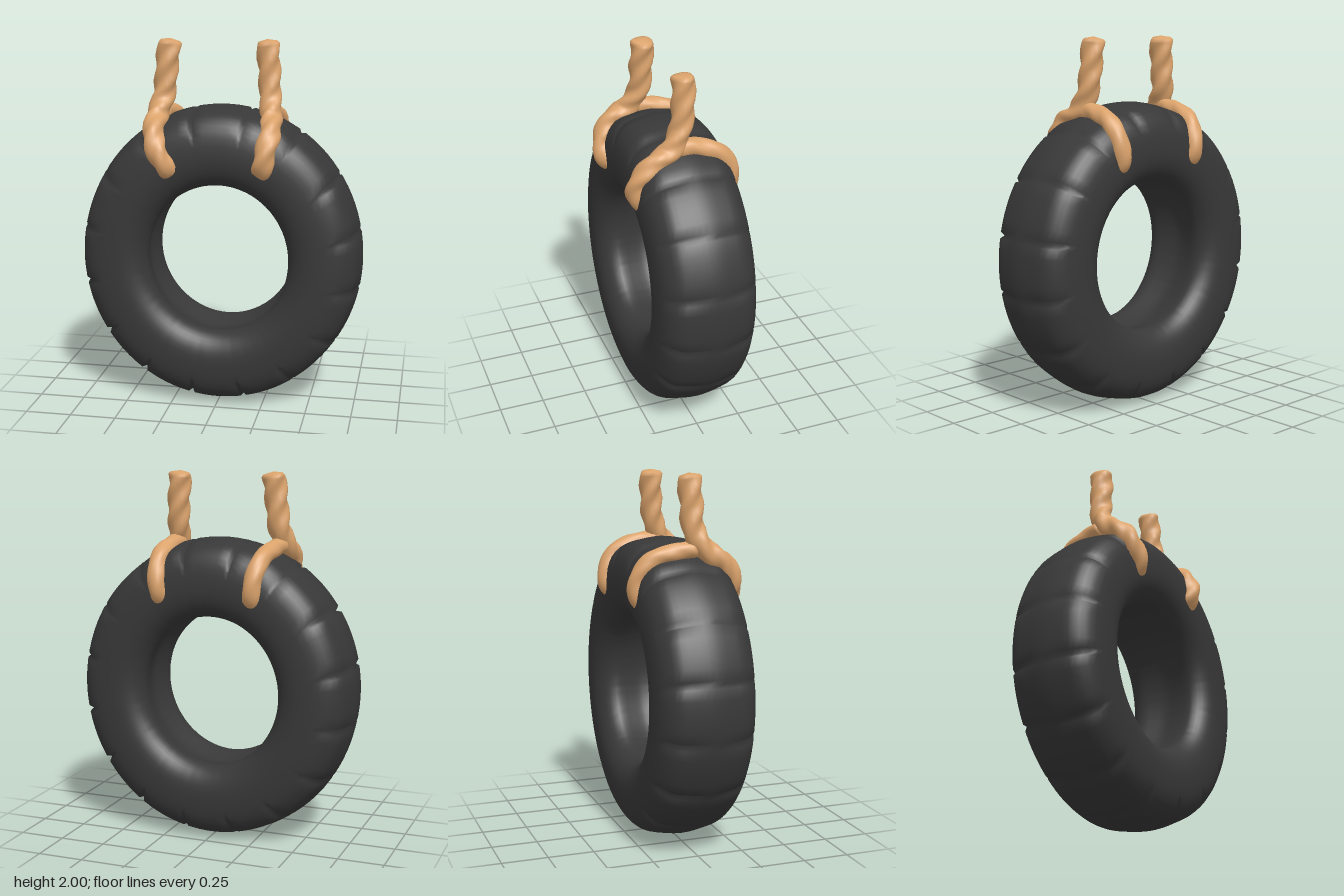
import * as THREE from 'three';
import { mergeVertices } from 'three/addons/utils/BufferGeometryUtils.js';

const rubber = new THREE.MeshStandardMaterial({ color: 0x383838 });
rubber.name = 'rubber';
const hemp = new THREE.MeshStandardMaterial({ color: 0xdba36c });
hemp.name = 'hemp rope';

// Weld seams and give smooth normals
function smooth(geometry) {
  geometry.deleteAttribute('uv');
  geometry.deleteAttribute('normal');
  const welded = mergeVertices(geometry, 1e-4);
  welded.computeVertexNormals();
  return welded;
}

// Tyre: closed profile turned round its axle, with notches cut across the tread
function makeTire() {
  const half = [[0.81, 0.1], [0.785, 0.185], [0.715, 0.245], [0.6, 0.267],
    [0.51, 0.26], [0.445, 0.225], [0.41, 0.165], [0.425, 0.08]];
  const loop = [[0.823, 0], ...half, [0.44, 0], ...half.map(([r, z]) => [r, -z]).reverse()];
  const curve = new THREE.CatmullRomCurve3(loop.map(([r, z]) => new THREE.Vector3(r, z, 0)), true);
  const profile = curve.getPoints(54).map(p => new THREE.Vector2(p.x, p.y));
  const blocks = 16, cols = 8, n = profile.length;
  const geometry = new THREE.LatheGeometry(profile, blocks * cols);
  const pos = geometry.attributes.position;
  for (let i = 0; i <= blocks * cols; i++) {
    const c = i % cols;
    // columns beside a notch are pulled in to make it narrow
    const shift = c === 3 ? 0.5 : c === 5 ? -0.5 : 0;
    const phi = (i + shift) / (blocks * cols) * Math.PI * 2;
    for (let j = 0; j < n; j++) {
      let { x: r, y: z } = profile[j];
      if (c === 4 && r > 0.7) r -= 0.008 + 0.022 * Math.min(1, Math.abs(z) / 0.18);
      pos.setXYZ(i * n + j, r * Math.sin(phi), z, r * Math.cos(phi));
    }
  }
  geometry.rotateX(Math.PI / 2);
  geometry.scale(0.942, 1, 1);
  const mesh = new THREE.Mesh(smooth(geometry), rubber);
  mesh.name = 'tire';
  mesh.position.set(0, 0.825, -0.004);
  return mesh;
}

// Three-strand twisted rope along a path, tapering from radius r0 to r1
function makeRope(name, points, r0, r1, lobe) {
  const curve = new THREE.CatmullRomCurve3(points.map(p => new THREE.Vector3(...p)));
  const length = curve.getLength();
  const rings = Math.round(length / 0.012), sides = 18;
  const geometry = new THREE.TubeGeometry(curve, rings, 1, sides, false);
  const pos = geometry.attributes.position;
  const v = new THREE.Vector3();
  for (let i = 0; i <= rings; i++) {
    const t = i / rings, centre = curve.getPointAt(t);
    const end = i === 0 || i === rings ? 0 : i === 1 || i === rings - 1 ? 0.85 : 1;
    for (let j = 0; j <= sides; j++) {
      const k = i * (sides + 1) + j;
      const wave = Math.cos(3 * (j / sides * Math.PI * 2 + t * length * Math.PI * 2 / 0.42));
      const r = THREE.MathUtils.lerp(r0, r1, t) * (1 + lobe * wave) * end;
      v.fromBufferAttribute(pos, k).sub(centre).multiplyScalar(r).add(centre);
      pos.setXYZ(k, v.x, v.y, v.z);
    }
  }
  const mesh = new THREE.Mesh(smooth(geometry), hemp);
  mesh.name = name;
  return mesh;
}

export function createModel() {
  const model = new THREE.Group();
  model.name = 'tireSwing';
  model.add(makeTire());

  // Hanging ropes run down the front of the tyre and into its hole
  model.add(makeRope('rightRope', [
    [-0.285, 2.0, 0.02], [-0.3, 1.85, 0.03], [-0.315, 1.7, 0.04], [-0.335, 1.6, 0.1],
    [-0.335, 1.53, 0.2], [-0.315, 1.44, 0.25], [-0.265, 1.35, 0.25], [-0.235, 1.3, 0.19],
  ], 0.062, 0.054, 0.1));
  model.add(makeRope('leftRope', [
    [0.237, 2.0, -0.005], [0.25, 1.85, 0.0], [0.26, 1.7, 0.02], [0.275, 1.6, 0.08],
    [0.285, 1.53, 0.19], [0.27, 1.44, 0.25], [0.255, 1.36, 0.25], [0.245, 1.31, 0.19],
  ], 0.06, 0.054, 0.1));

  // Back loops go over the tread and down behind
  model.add(makeRope('rightBackLoop', [
    [-0.325, 1.61, 0.06], [-0.31, 1.595, -0.06], [-0.29, 1.55, -0.19],
    [-0.27, 1.45, -0.252], [-0.262, 1.36, -0.25], [-0.255, 1.31, -0.19],
  ], 0.046, 0.05, 0.04));
  model.add(makeRope('leftBackLoop', [
    [0.265, 1.61, 0.06], [0.265, 1.6, -0.06], [0.28, 1.55, -0.19],
    [0.275, 1.45, -0.252], [0.262, 1.36, -0.25], [0.255, 1.31, -0.19],
  ], 0.05, 0.05, 0.04));
  return model;
}
